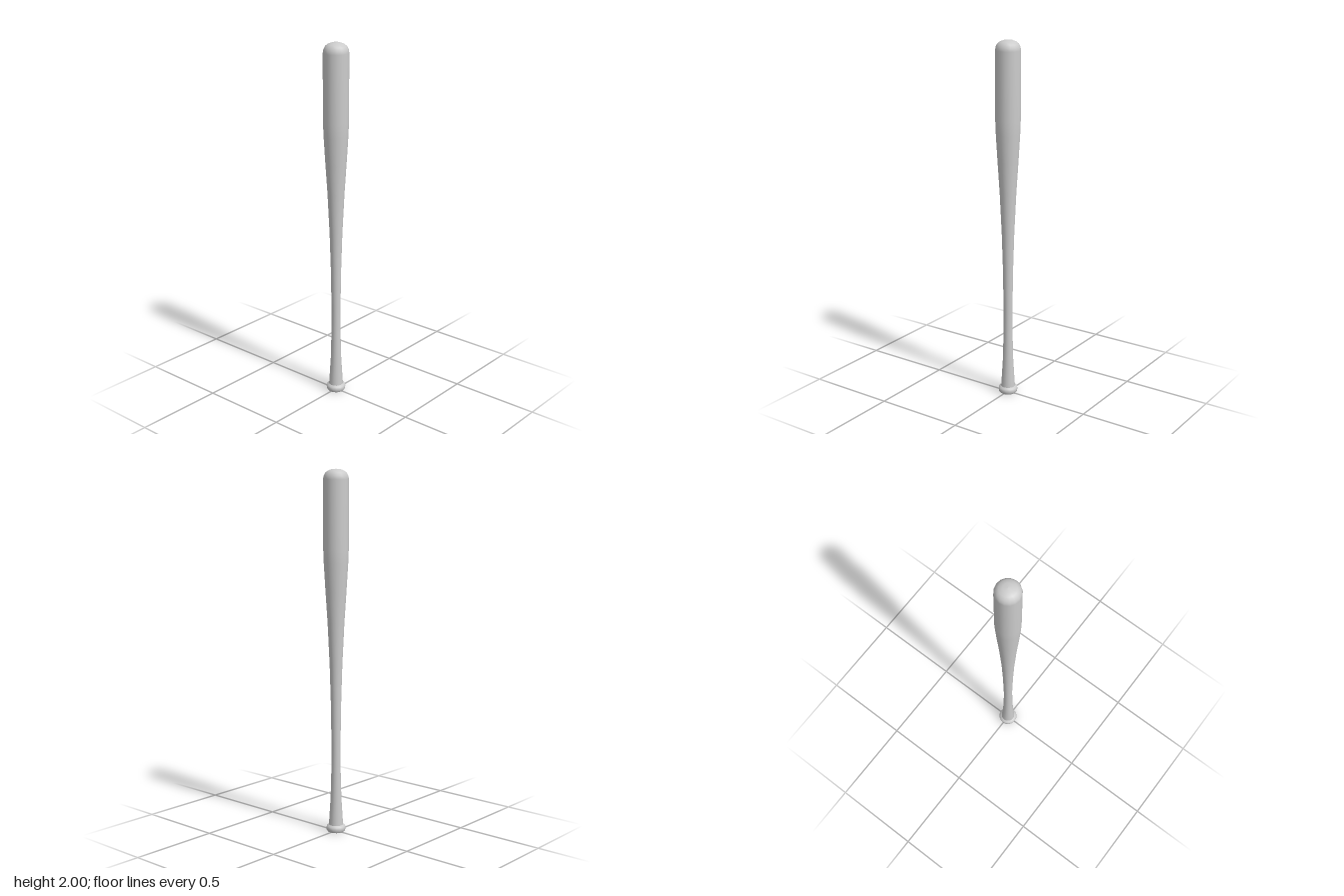
import * as THREE from 'three';

const SIDES = 16;

export function createModel() {
  const group = new THREE.Group();
  const grey = new THREE.MeshStandardMaterial({ color: 0xcccccc });
  grey.name = 'lightGrey';

  // Turned part from [radius, height] pairs, listed bottom to top
  const turned = (name, profile) => {
    const points = profile.map(([r, y]) => new THREE.Vector2(r, y));
    const mesh = new THREE.Mesh(new THREE.LatheGeometry(points, SIDES), grey);
    mesh.name = name;
    group.add(mesh);
  };

  // Flared handle, tapered neck, barrel and rounded tip in one smooth sweep
  turned('handleAndBarrel', [
    [0.04, 0.035], [0.036, 0.1], [0.03, 0.2], [0.026, 0.35], [0.025, 0.5],
    [0.029, 0.75], [0.035, 0.95], [0.046, 1.18], [0.057, 1.35], [0.066, 1.5],
    [0.069, 1.58], [0.069, 1.945], [0.066, 1.963], [0.058, 1.979],
    [0.045, 1.99], [0.025, 1.998], [0, 2],
  ]);

  // Knob at the foot of the handle, with a flat base
  turned('knobRim', [
    [0.046, 0], [0.052, 0.007], [0.054, 0.02], [0.051, 0.032], [0.038, 0.04],
  ]);
  turned('knobBase', [[0, 0], [0.046, 0]]);

  return group;
}
